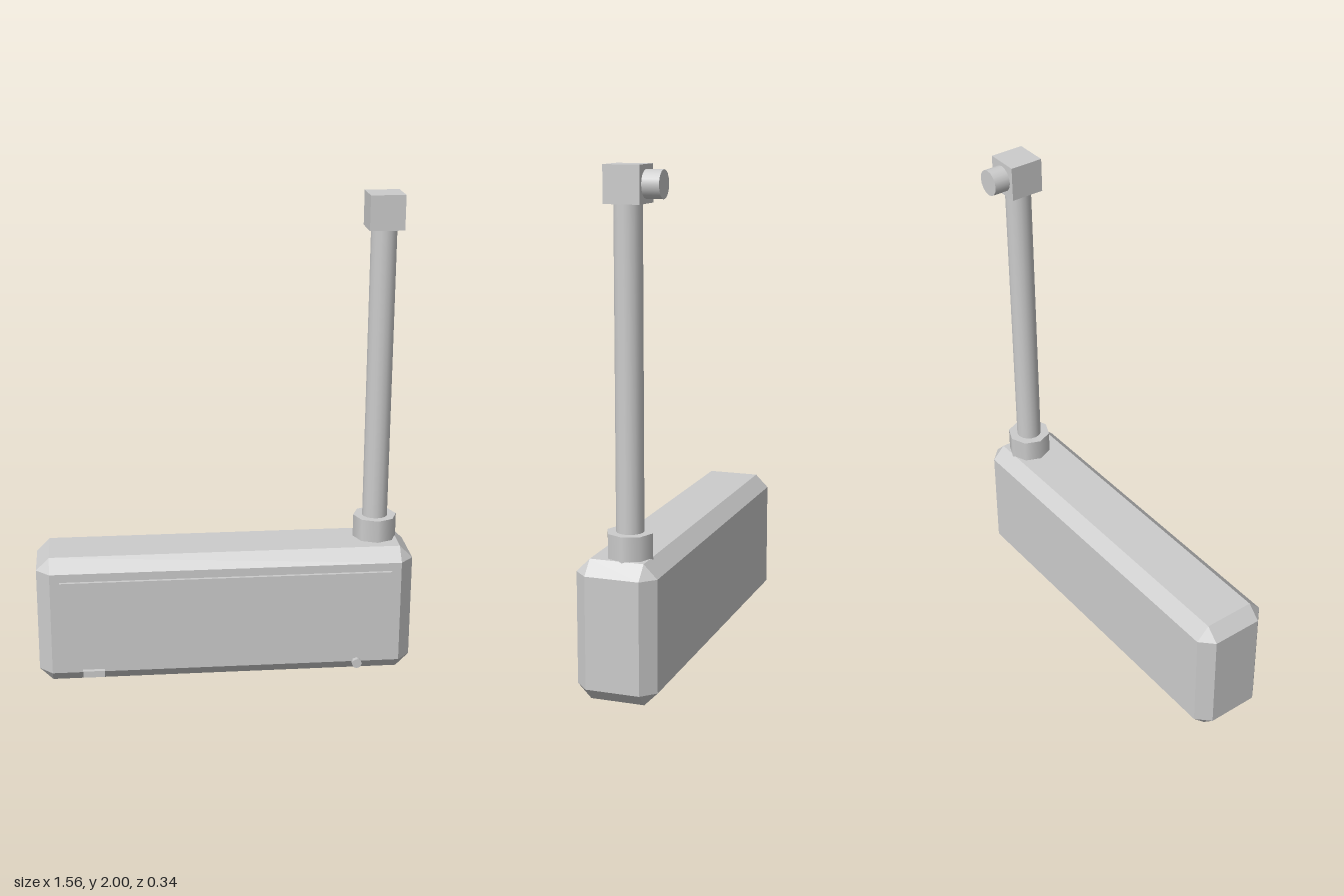
import * as THREE from 'three';
import { ConvexGeometry } from 'three/addons/geometries/ConvexGeometry.js';

// Box with every edge cut at 45 degrees and triangular corners
function chamferBox(w, h, d, c) {
  const points = [];
  for (const sx of [-1, 1]) for (const sy of [-1, 1]) for (const sz of [-1, 1]) {
    const x = w / 2, y = h / 2, z = d / 2;
    points.push(
      new THREE.Vector3(sx * x, sy * (y - c), sz * (z - c)),
      new THREE.Vector3(sx * (x - c), sy * y, sz * (z - c)),
      new THREE.Vector3(sx * (x - c), sy * (y - c), sz * z));
  }
  return new ConvexGeometry(points);
}

export function createModel() {
  const group = new THREE.Group();
  const grey = new THREE.MeshStandardMaterial({ color: 0xcccccc });
  grey.name = 'light grey';

  const add = (name, geometry, x, y, z) => {
    const mesh = new THREE.Mesh(geometry, grey);
    mesh.name = name;
    mesh.position.set(x, y, z);
    group.add(mesh);
    return mesh;
  };

  // Housing with its front panel and small fittings
  add('housing', chamferBox(1.56, 0.55, 0.322, 0.054), 0, 0.275, -0.01);
  add('frontPanel', new THREE.BoxGeometry(1.372, 0.366, 0.024), -0.001, 0.278, 0.152);
  add('latch', new THREE.BoxGeometry(0.09, 0.028, 0.03), -0.555, 0.051, 0.154);
  const knob = add('knob', new THREE.CylinderGeometry(0.021, 0.021, 0.03, 8), 0.547, 0.05, 0.154);
  knob.rotation.x = Math.PI / 2;

  // Mast rising from the collar
  const px = 0.64, pz = -0.032;
  add('collar', new THREE.CylinderGeometry(0.091, 0.091, 0.125, 8), px, 0.5825, pz);
  add('pipe', new THREE.CylinderGeometry(0.053, 0.053, 1.3, 16), px, 1.25, pz);

  // Elbow block with a stub facing backwards
  add('elbowBlock', new THREE.BoxGeometry(0.14, 0.14, 0.14), px, 1.93, pz);
  const stub = add('outletStub', new THREE.CylinderGeometry(0.053, 0.053, 0.08, 16), px, 1.93, -0.129);
  stub.rotation.x = Math.PI / 2;

  return group;
}
